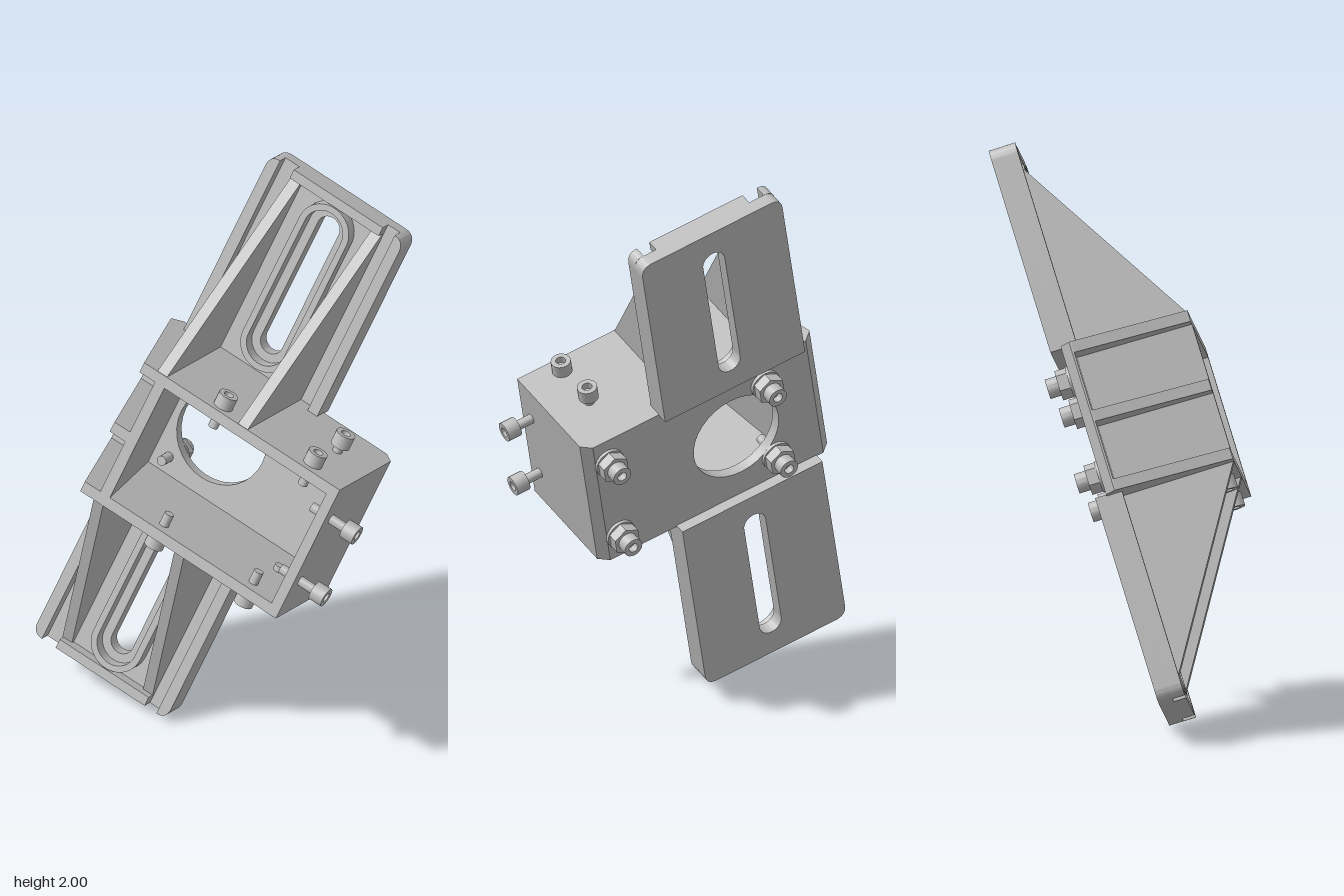
import * as THREE from 'three';
import { toCreasedNormals } from 'three/addons/utils/BufferGeometryUtils.js';

export function createModel() {
  const metal = new THREE.MeshStandardMaterial({ color: 0xbcbcbc });
  metal.name = 'grey metal';
  const model = new THREE.Group();
  model.name = 'mountingBracket';
  const bracket = new THREE.Group();
  bracket.name = 'bracket';
  model.add(bracket);

  const add = (name, geometry) => {
    const mesh = new THREE.Mesh(toCreasedNormals(geometry, 0.6), metal);
    mesh.name = name;
    bracket.add(mesh);
    return mesh;
  };
  // box given by its limits
  const block = (name, x0, x1, y0, y1, z0, z1) =>
    add(name, new THREE.BoxGeometry(x1 - x0, y1 - y0, z1 - z0)
      .translate((x0 + x1) / 2, (y0 + y1) / 2, (z0 + z1) / 2));
  const polygon = (pts) => new THREE.Shape(pts.map(([x, y]) => new THREE.Vector2(x, y)));
  const extrude = (shape, depth) =>
    new THREE.ExtrudeGeometry(shape, { depth, bevelEnabled: false, curveSegments: 16 });
  // (x, z) section extruded along y
  const extrudeY = (name, pts, y0, y1) =>
    add(name, extrude(polygon(pts.map(([x, z]) => [x, -z])), y1 - y0)
      .rotateX(-Math.PI / 2).translate(0, y0, 0));

  // ---- central housing ----
  const MID = -0.185;
  const back = polygon([[-0.5, -0.27], [0.352, -0.27], [0.352, 0.27], [-0.5, 0.27]]);
  back.holes.push(new THREE.Path().absarc(MID, 0, 0.17, 0, Math.PI * 2, true));
  add('housingBack', extrude(back, 0.04).translate(0, 0, -0.2));

  // chamfered back edges, side wall and sloping inner wall
  extrudeY('housingBackEdge',
    [[-0.5, -0.2], [-0.5, -0.16], [-0.535, -0.16], [-0.535, -0.167]], -0.27, 0.27);
  extrudeY('housingSide',
    [[0.352, -0.2], [0.357, -0.2], [0.39, -0.167], [0.39, 0.25], [0.352, 0.25]], -0.27, 0.27);
  extrudeY('housingInnerSide',
    [[-0.42, -0.16], [-0.38, -0.16], [-0.33, 0.25], [-0.37, 0.25]], -0.27, 0.27);
  for (const s of [-1, 1]) {
    extrudeY('housingEndWall',
      [[-0.4, -0.16], [0.352, -0.16], [0.352, 0.25], [-0.35, 0.25]],
      s * 0.25 - 0.02, s * 0.25 + 0.02);
  }
  // tapering fins
  for (const y of [-0.25, 0, 0.25]) {
    extrudeY('coolingFin',
      [[-0.535, -0.16], [-0.41, -0.16], [-0.36, 0.25], [-0.435, 0.25]], y - 0.02, y + 0.02);
  }

  // ---- slotted arms with lips and gusset ribs ----
  const X0 = -0.473, X1 = 0.09, END = 1.005, R = 0.045, FLOOR = -0.19, TOP = -0.145;
  const slotOutline = (path, s, r) => {
    const lo = s > 0 ? 0.392 : -0.869, hi = s > 0 ? 0.869 : -0.392;
    path.absarc(MID, hi, r, 0, Math.PI, false);
    path.absarc(MID, lo, r, Math.PI, Math.PI * 2, false);
    path.closePath();
    return path;
  };
  for (const s of [-1, 1]) {
    // thin floor plate with rounded outer corners
    const floor = new THREE.Shape();
    floor.moveTo(X0, s * 0.265);
    floor.lineTo(X1, s * 0.265);
    floor.lineTo(X1, s * (END - R));
    floor.quadraticCurveTo(X1, s * END, X1 - R, s * END);
    floor.lineTo(X0 + R, s * END);
    floor.quadraticCurveTo(X0, s * END, X0, s * (END - R));
    floor.closePath();
    floor.holes.push(slotOutline(new THREE.Path(), s, 0.043));
    add('armFloor', extrude(floor, FLOOR + 0.24).translate(0, 0, -0.24));

    // raised rim round the slot
    const rim = slotOutline(new THREE.Shape(), s, 0.098);
    rim.holes.push(slotOutline(new THREE.Path(), s, 0.075));
    add('slotRim', extrude(rim, TOP - FLOOR).translate(0, 0, FLOOR));

    // raised lips along both edges and across the end
    for (const [edge, inward] of [[X0, 1], [X1, -1]]) {
      const lip = new THREE.Shape();
      lip.moveTo(edge + inward * 0.04, s * 0.265);
      lip.lineTo(edge, s * 0.265);
      lip.lineTo(edge, s * (END - R));
      lip.quadraticCurveTo(edge, s * END, edge + inward * 0.04, s * END);
      lip.closePath();
      add('armSideLip', extrude(lip, TOP - FLOOR).translate(0, 0, FLOOR));
    }
    block('armEndLip', -0.375, 0, s * (END - 0.0175) - 0.0175, s * (END - 0.0175) + 0.0175,
      FLOOR, TOP);

    for (const x of [-0.38, -0.04]) {
      const rib = polygon([[-0.25, s * 0.265], [-FLOOR, s * 0.265], [-FLOOR, s * 0.975],
        [0.18, s * 0.975]]);
      add('gussetRib', extrude(rib, 0.04).rotateY(Math.PI / 2).translate(x, 0, 0));
    }
  }

  // ---- socket screws: head base at pos, head pointing along dir ----
  const screw = (name, pos, dir, length, r = 0.035) => {
    const t = r * 0.5;
    const profile = [[0, -length], [t, -length], [t, 0], [r, 0], [r, 0.05], [t, 0.05],
      [t, 0.025], [0, 0.025]].map(([x, y]) => new THREE.Vector2(x, y));
    const mesh = add(name, new THREE.LatheGeometry(profile, 18));
    mesh.position.set(...pos);
    mesh.quaternion.setFromUnitVectors(new THREE.Vector3(0, 1, 0), new THREE.Vector3(...dir));
  };
  for (const s of [-1, 1]) {
    for (const [x, y, z] of [[-0.13, 0.268, 0.195], [0.245, 0.268, 0.19], [0.25, 0.295, 0]]) {
      screw('endScrew', [x, s * y, z], [0, s, 0], 0.085);
    }
    screw('sideScrew', [0.45, s * 0.13, 0.185], [1, 0, 0], 0.14);
    // back screws with washer and hexagon nut
    for (const x of [-0.322, 0.305]) {
      screw('backScrew', [x, s * 0.172, -0.24], [0, 0, -1], 0.14);
      add('washer', new THREE.CylinderGeometry(0.055, 0.055, 0.012, 20)
        .rotateX(Math.PI / 2).translate(x, s * 0.172, -0.206));
      add('hexNut', new THREE.CylinderGeometry(0.053, 0.053, 0.038, 6)
        .rotateX(Math.PI / 2).translate(x, s * 0.172, -0.231));
    }
  }

  // tilt of the whole bracket
  bracket.rotation.set(0, -Math.PI / 4, -25 * Math.PI / 180, 'ZYX');
  bracket.position.y = 1;
  return model;
}
